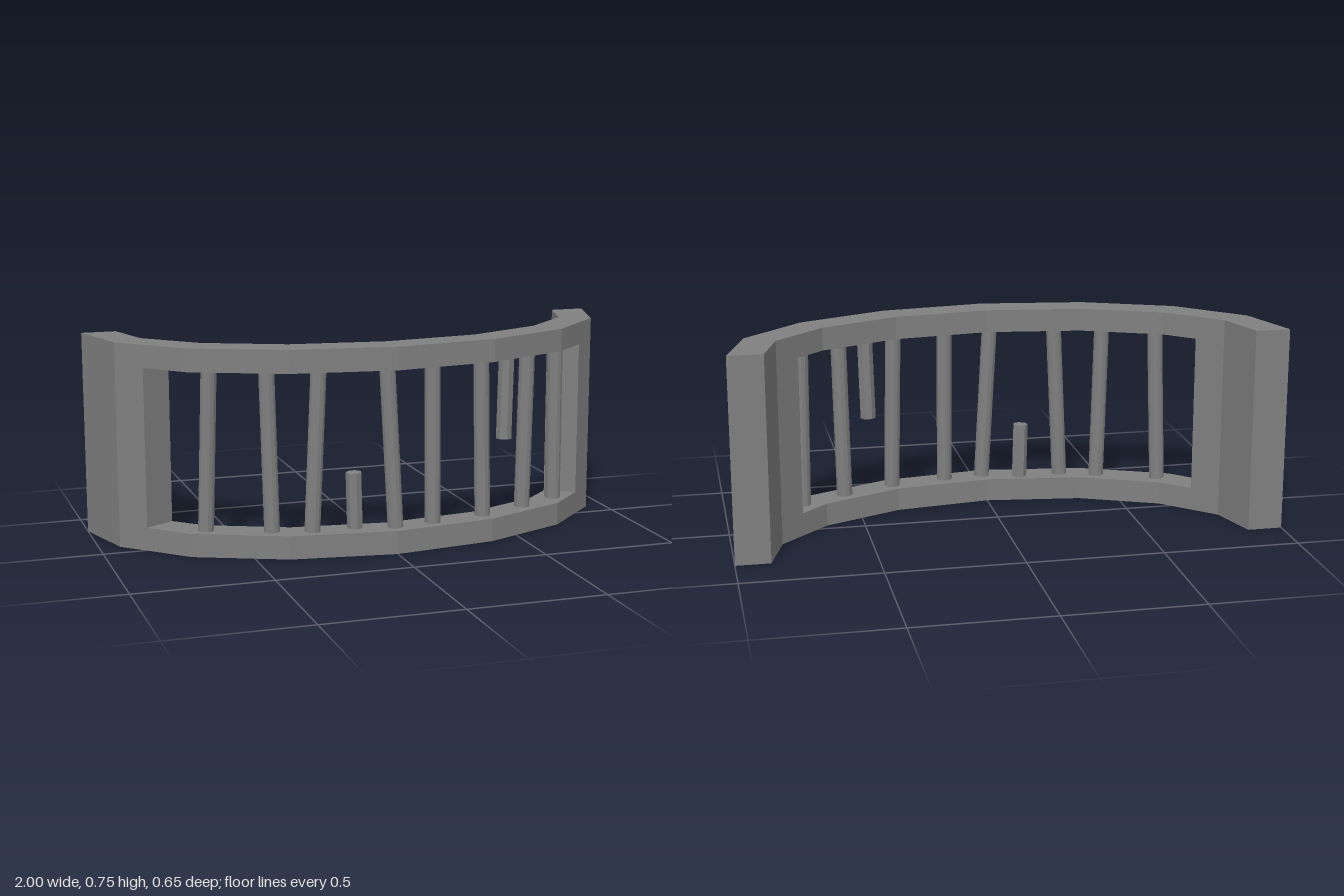
import * as THREE from 'three';

const material = new THREE.MeshStandardMaterial({ color: 0x808080, flatShading: true, side: THREE.DoubleSide });
const HEIGHT = 0.75, SILL = 0.085, LINTEL = 0.666;

// Half plan from end to centre: [outer x, outer z, inner x, inner z]
const half = [
  [1, -0.327, 0.873, -0.327],
  [0.925, -0.077, 0.818, -0.14],
  [0.84, 0.004, 0.735, -0.06], // edge of the opening
  [0.707, 0.135, 0.638, 0.032],
  [0.383, 0.275, 0.352, 0.158],
  [0, 0.327, 0, 0.203],
];
const OPENING = 2;

// Curved wall with one wide window
function frameGeometry() {
  const mirrored = half.map(([a, b, c, d]) => [-a, b, -c, d]);
  const stations = [...mirrored, ...half.slice(0, -1).reverse()];
  const last = stations.length - 1;
  const positions = [];
  const outer = (s, y) => [s[0], y, s[1]];
  const inner = (s, y) => [s[2], y, s[3]];
  const quad = (a, b, c, d) => positions.push(...a, ...b, ...c, ...a, ...c, ...d);
  // Front, back, top and bottom faces between two neighbouring stations
  const block = (s, t, y0, y1) => {
    quad(outer(s, y0), outer(t, y0), outer(t, y1), outer(s, y1));
    quad(inner(t, y0), inner(s, y0), inner(s, y1), inner(t, y1));
    quad(outer(s, y1), outer(t, y1), inner(t, y1), inner(s, y1));
    quad(inner(s, y0), inner(t, y0), outer(t, y0), outer(s, y0));
  };
  for (let i = 0; i < last; i++) {
    const s = stations[i], t = stations[i + 1];
    if (i >= OPENING && i < last - OPENING) {
      block(s, t, 0, SILL);
      block(s, t, LINTEL, HEIGHT);
    } else {
      block(s, t, 0, HEIGHT);
    }
  }
  // Outer ends and window jambs
  const faceMinusX = (s, y0, y1) => quad(inner(s, y0), outer(s, y0), outer(s, y1), inner(s, y1));
  const facePlusX = (s, y0, y1) => quad(outer(s, y0), inner(s, y0), inner(s, y1), outer(s, y1));
  faceMinusX(stations[0], 0, HEIGHT);
  facePlusX(stations[last], 0, HEIGHT);
  facePlusX(stations[OPENING], SILL, LINTEL);
  faceMinusX(stations[last - OPENING], SILL, LINTEL);

  const geometry = new THREE.BufferGeometry();
  geometry.setAttribute('position', new THREE.Float32BufferAttribute(positions, 3));
  geometry.computeVertexNormals();
  return geometry;
}

// Straight rod between two points
function rod(name, from, to, sides) {
  const a = new THREE.Vector3(...from), b = new THREE.Vector3(...to);
  const axis = b.clone().sub(a);
  const mesh = new THREE.Mesh(new THREE.CylinderGeometry(0.029, 0.029, axis.length(), sides), material);
  mesh.position.copy(a).add(b).multiplyScalar(0.5);
  mesh.quaternion.setFromUnitVectors(new THREE.Vector3(0, 1, 0), axis.normalize());
  mesh.name = name;
  return mesh;
}

export function createModel() {
  const model = new THREE.Group();
  model.name = 'barredWindow';

  const frame = new THREE.Mesh(frameGeometry(), material);
  frame.name = 'curvedFrame';
  model.add(frame);

  // Slightly crooked full bars: [bottom x, bottom z, top x, top z]
  const bars = [
    [-0.647, 0.103, -0.63, 0.117],
    [-0.427, 0.19, -0.44, 0.185],
    [-0.29, 0.232, -0.263, 0.23],
    [0.011, 0.267, -0.021, 0.267],
    [0.16, 0.248, 0.157, 0.245],
    [0.37, 0.208, 0.357, 0.21],
    [0.56, 0.13, 0.57, 0.133],
    [0.724, 0.045, 0.717, 0.055],
  ];
  bars.forEach(([x0, z0, x1, z1], i) =>
    model.add(rod(`bar${i + 1}`, [x0, SILL, z0], [x1, LINTEL, z1], 12)));

  // Broken bars
  model.add(rod('brokenBarLower', [-0.13, SILL, 0.232], [-0.136, 0.29, 0.235], 7));
  model.add(rod('brokenBarUpper', [0.459, 0.363, 0.188], [0.467, LINTEL, 0.184], 7));
  return model;
}
